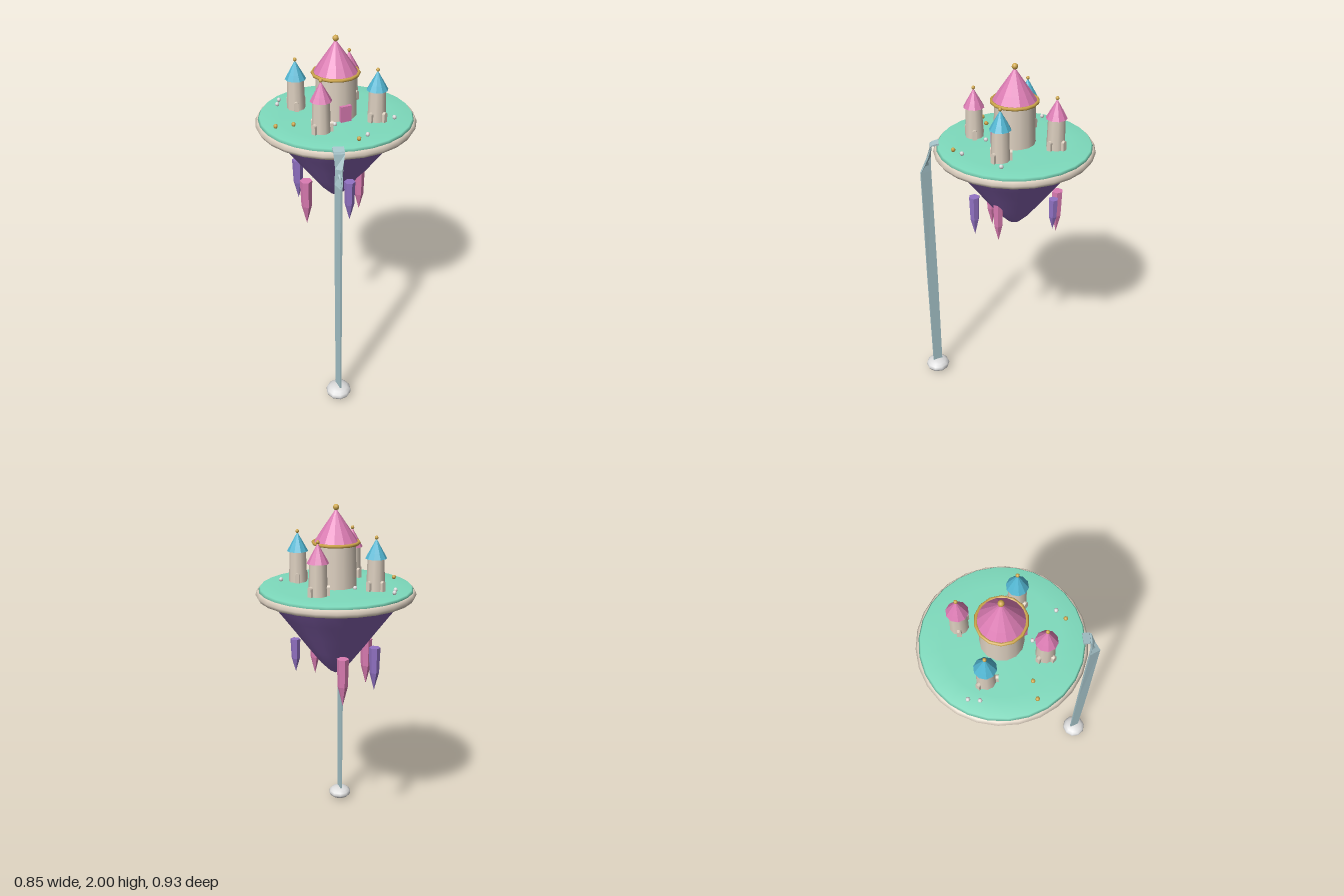
import * as THREE from 'three';

const mat = (name, color) => {
  const m = new THREE.MeshStandardMaterial({ color });
  m.name = name;
  return m;
};

export function createModel() {
  const M = {
    grass: mat('mint grass', 0x7edbbd),
    rock: mat('purple rock', 0x8a66b4),
    stone: mat('warm stone', 0xdccfbf),
    pink: mat('pink', 0xdb7cb3),
    blue: mat('roof blue', 0x52b6d2),
    gold: mat('gold', 0xd0a84c),
    violet: mat('violet crystal', 0x9272c4),
    water: mat('pale water', 0xa6c4ca),
    white: mat('mist white', 0xdedede),
  };
  M.water.side = THREE.DoubleSide;

  const root = new THREE.Group();
  root.name = 'floatingCastle';
  const add = (parent, name, geo, material, x = 0, y = 0, z = 0) => {
    const m = new THREE.Mesh(geo, material);
    m.name = name;
    m.position.set(x, y, z);
    parent.add(m);
    return m;
  };
  // Profile is listed from bottom to top as [radius, height]
  const lathe = (pts, n) => new THREE.LatheGeometry(pts.map(p => new THREE.Vector2(...p)), n);
  const flat = (geo) => {
    const g = geo.toNonIndexed();
    g.computeVertexNormals();
    return g;
  };

  // Island: rock cone, turf and stone rim
  const island = new THREE.Group();
  island.name = 'island';
  island.position.z = -0.0425;
  root.add(island);
  add(island, 'rockUnderside', lathe([[0, 1.08], [0.035, 1.1], [0.085, 1.15], [0.15, 1.235],
    [0.22, 1.33], [0.295, 1.43], [0.365, 1.52], [0.375, 1.545]], 26), M.rock);
  add(island, 'turf', lathe([[0, 1.538], [0.395, 1.54], [0.411, 1.56], [0.402, 1.573],
    [0.3, 1.576], [0, 1.58]], 26), M.grass);
  const rim = add(island, 'stoneRim', new THREE.TorusGeometry(0.404, 0.023, 6, 26), M.stone, 0, 1.54, 0);
  rim.rotation.x = Math.PI / 2;

  // Central keep
  const roof = (r, h, n) => flat(lathe([[0, 0], [r, 0], [r * 0.72, h * 0.29], [0, h]], n));
  const keep = new THREE.Group();
  keep.name = 'keep';
  island.add(keep);
  add(keep, 'keepWall', new THREE.CylinderGeometry(0.104, 0.112, 0.235, 14), M.stone, 0, 1.688, 0);
  add(keep, 'keepRoof', roof(0.12, 0.175, 14), M.pink, 0, 1.803, 0);
  const band = add(keep, 'goldBand', new THREE.TorusGeometry(0.12, 0.009, 6, 14), M.gold, 0, 1.805, 0);
  band.rotation.x = Math.PI / 2;
  add(keep, 'keepFinial', new THREE.SphereGeometry(0.016, 10, 8), M.gold, 0, 1.984, 0);
  add(keep, 'keepDoor', new THREE.BoxGeometry(0.06, 0.085, 0.025), M.pink, 0, 1.622, 0.112);

  // Small arched buttress shape
  const arch = new THREE.Shape();
  arch.moveTo(-0.012, 0);
  arch.lineTo(0.012, 0);
  arch.lineTo(0.012, 0.045);
  arch.absarc(0, 0.045, 0.012, 0, Math.PI, false);
  const archGeo = new THREE.ExtrudeGeometry(arch, { depth: 0.025, bevelEnabled: false, curveSegments: 6 });

  // Four corner turrets with alternating roofs
  for (const [sx, sz] of [[-1, -1], [1, -1], [-1, 1], [1, 1]]) {
    const turret = new THREE.Group();
    turret.name = 'turret';
    turret.position.set(sx * 0.158, 1.573, sz * 0.158);
    island.add(turret);
    add(turret, 'turretWall', new THREE.CylinderGeometry(0.044, 0.049, 0.17, 10), M.stone, 0, 0.085, 0);
    add(turret, 'turretRoof', roof(0.056, 0.1, 10), sx === sz ? M.blue : M.pink, 0, 0.168, 0);
    add(turret, 'turretFinial', new THREE.SphereGeometry(0.01, 8, 6), M.gold, 0, 0.273, 0);
    for (const d of [0.4, 1.95, -1.97]) {
      const a = Math.atan2(sz, sx) + d;
      const b = add(turret, 'archedDoorway', archGeo, M.stone, Math.cos(a) * 0.035, 0, Math.sin(a) * 0.035);
      b.rotation.y = Math.PI / 2 - a;
    }
  }

  // Pebbles scattered on the turf
  const pebble = new THREE.SphereGeometry(0.012, 6, 5);
  for (const [x, z] of [[-0.21, -0.32], [-0.24, -0.27], [0.243, 0.152], [0.025, 0.267], [-0.07, 0.09], [-0.06, -0.162]])
    add(root, 'whitePebble', pebble, M.white, x, 1.585, z);
  for (const [x, z] of [[-0.35, -0.02], [-0.26, 0], [-0.035, 0.29]])
    add(root, 'goldPebble', pebble, M.gold, x, 1.585, z);

  // Hanging crystals: x, z, top, tip, radius, material
  for (const [x, z, top, tip, r, m] of [
    [-0.2, 0, 1.24, 0.97, 0.034, M.pink],
    [0.055, -0.283, 1.25, 0.985, 0.032, M.pink],
    [0.075, 0.09, 1.275, 1.04, 0.029, M.pink],
    [-0.03, 0.183, 1.285, 1.05, 0.03, M.violet],
    [-0.16, -0.205, 1.26, 1.015, 0.031, M.violet],
    [0.263, -0.138, 1.34, 1.16, 0.026, M.violet],
  ]) {
    const h = top - tip;
    add(root, 'crystal', flat(lathe([[0, 0], [r * 0.85, h * 0.42], [r, h], [0, h]], 6)), m, x, tip, z);
  }

  // Waterfall: a thin ribbon that turns edge-on as it falls
  // Section: centre, half-width vector, half-thickness vector
  const sections = [
    [[-0.165, 1.578, 0.318], [0.027, 0, 0.01], [0, 0.006, 0]],
    [[-0.177, 1.57, 0.358], [0.026, 0, 0.01], [0.002, 0.004, -0.005]],
    [[-0.185, 1.49, 0.373], [0.013, 0, 0.014], [0.004, 0, -0.004]],
    [[-0.197, 1.405, 0.389], [0.002, 0, 0.03], [0.006, 0, 0]],
    [[-0.199, 0.7, 0.391], [0, 0, 0.031], [0.006, 0, 0]],
    [[-0.199, 0.05, 0.393], [0, 0, 0.028], [0.005, 0, 0]],
  ];
  const pos = [], idx = [];
  for (const [c, w, t] of sections)
    for (const [a, b] of [[-1, -1], [1, -1], [1, 1], [-1, 1]])
      pos.push(...c.map((v, i) => v + a * w[i] + b * t[i]));
  for (let s = 0; s < sections.length - 1; s++)
    for (let k = 0; k < 4; k++) {
      const a = s * 4 + k, b = s * 4 + (k + 1) % 4;
      idx.push(a, b, a + 4, b, b + 4, a + 4);
    }
  const e = (sections.length - 1) * 4;
  idx.push(0, 2, 1, 0, 3, 2, e, e + 1, e + 2, e, e + 2, e + 3);
  const ribbon = new THREE.BufferGeometry();
  ribbon.setAttribute('position', new THREE.Float32BufferAttribute(pos, 3));
  ribbon.setIndex(idx);
  add(root, 'waterfall', flat(ribbon), M.water);

  // Mist at the foot of the waterfall
  const mist = add(root, 'mistPool', new THREE.SphereGeometry(0.072, 10, 8), M.white, -0.199, 0.038, 0.393);
  mist.scale.y = 0.53;

  return root;
}
